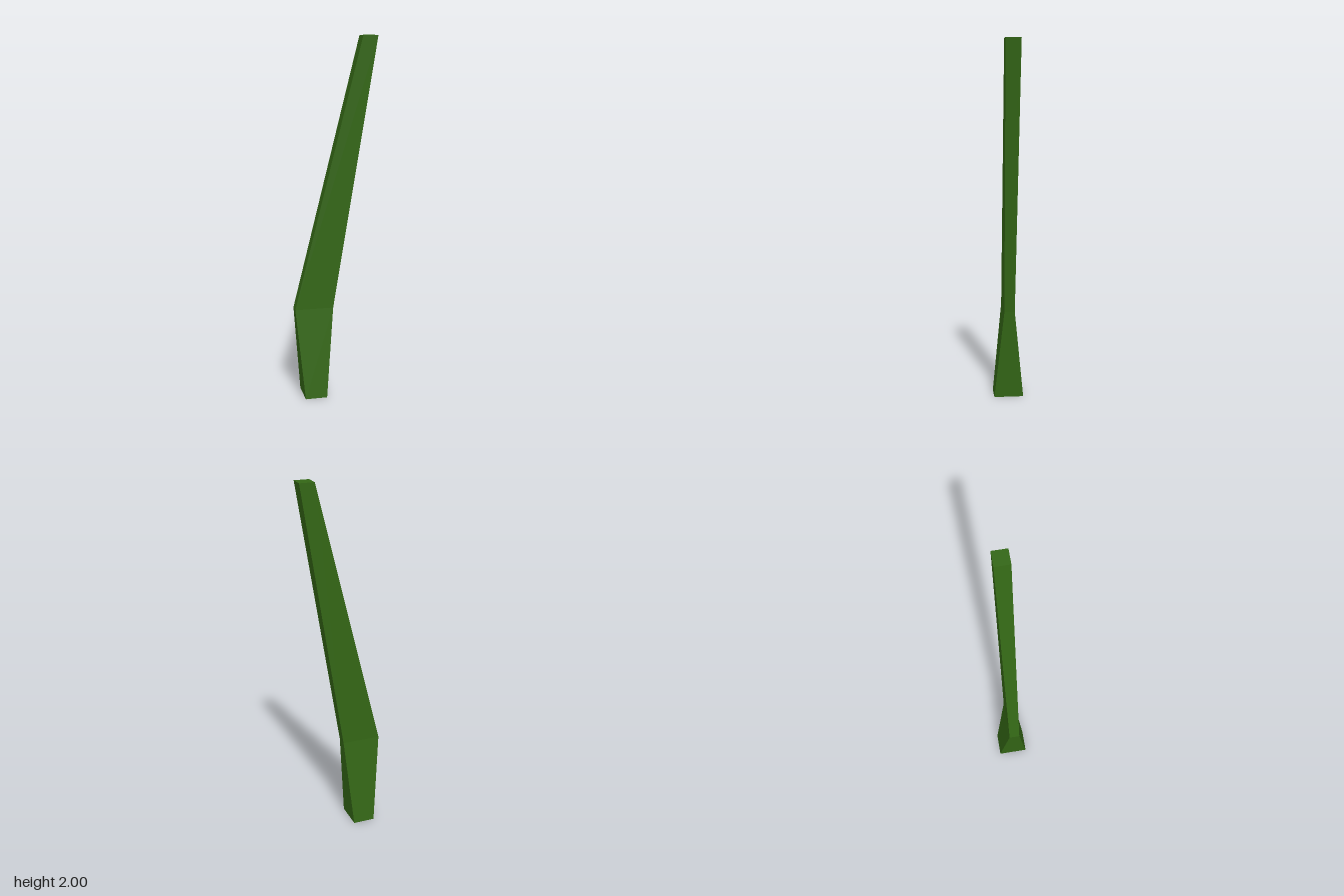
import * as THREE from 'three';

// Cross-sections of the blade: height, centre x and z, width, thickness
const SECTIONS = [
  { y: 0, x: -0.122, z: 0, width: 0.122, depth: 0.165 },
  { y: 0.51, x: -0.121, z: 0, width: 0.215, depth: 0.058 },
  { y: 2, x: 0.184, z: -0.046, width: 0.082, depth: 0.082 },
];
const TWIST = 0.16; // turn of every section about the vertical axis

// Four corners of one section, seen from below in counter-clockwise order
function corners({ y, x, z, width, depth }) {
  const c = Math.cos(TWIST), s = Math.sin(TWIST);
  return [[-1, -1], [1, -1], [1, 1], [-1, 1]].map(([a, b]) => {
    const u = a * width / 2, v = b * depth / 2;
    return [x + u * c + v * s, y, z - u * s + v * c];
  });
}

function bladeGeometry() {
  const rings = SECTIONS.map(corners);
  const positions = [];
  const quad = (a, b, c, d) => positions.push(...a, ...b, ...c, ...a, ...c, ...d);

  // Side faces between neighbouring sections
  for (let r = 0; r < rings.length - 1; r++) {
    const low = rings[r], high = rings[r + 1];
    for (let i = 0; i < 4; i++) {
      const j = (i + 1) % 4;
      quad(low[j], low[i], high[i], high[j]);
    }
  }
  // End caps
  quad(...rings[0]);
  quad(...[...rings[rings.length - 1]].reverse());

  const geometry = new THREE.BufferGeometry();
  geometry.setAttribute('position', new THREE.Float32BufferAttribute(positions, 3));
  geometry.computeVertexNormals();
  return geometry;
}

export function createModel() {
  const model = new THREE.Group();
  model.name = 'grassBlade';

  // Leaning, faceted blade
  const material = new THREE.MeshStandardMaterial({ color: 0x336615, flatShading: true });
  const blade = new THREE.Mesh(bladeGeometry(), material);
  blade.name = 'blade';
  model.add(blade);
  return model;
}
